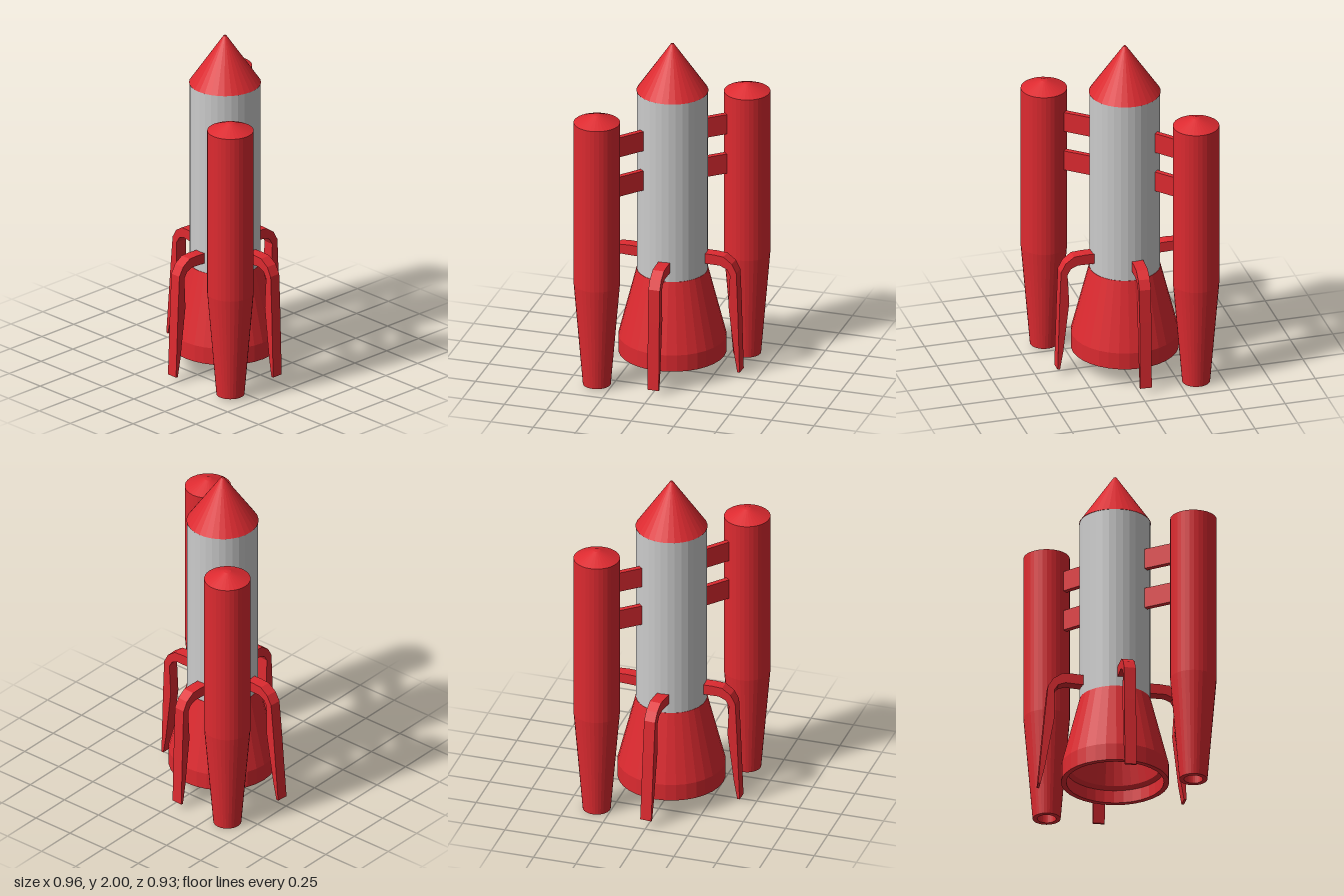
import * as THREE from 'three';

const red = new THREE.MeshStandardMaterial({ color: 0xdd2a30, flatShading: true, side: THREE.DoubleSide });
const grey = new THREE.MeshStandardMaterial({ color: 0xcccccc, flatShading: true });
const CX = -0.03, CZ = 0.005; // axis of the main body

function lathe(name, points, material, x, z, y = 0) {
  const profile = points.map(([r, h]) => new THREE.Vector2(r, h));
  const mesh = new THREE.Mesh(new THREE.LatheGeometry(profile, 32), material);
  mesh.name = name;
  mesh.position.set(x, y, z);
  return mesh;
}

// Flat strut between two ground points [x, z]
function strut(a, b, y) {
  const dx = b[0] - a[0], dz = b[1] - a[1];
  const mesh = new THREE.Mesh(new THREE.BoxGeometry(Math.hypot(dx, dz), 0.12, 0.03), red);
  mesh.name = 'boosterStrut';
  mesh.position.set((a[0] + b[0]) / 2, y, (a[1] + b[1]) / 2);
  mesh.rotation.y = Math.atan2(-dz, dx);
  return mesh;
}

// Bent landing leg: outline in (outward, up), measured from where it meets the body
function legGeometry() {
  const width = 0.067;
  const outline = [
    [-0.03, 0.03], [0.05, 0.032], [0.11, 0.028], [0.16, -0.008], [0.188, -0.06], [0.196, -0.26], [0.208, -0.67],
    [0.194, -0.67], [0.175, -0.56], [0.14, -0.26], [0.15, -0.08], [0.13, -0.045], [0.09, -0.028], [-0.03, -0.03],
  ].map(([x, y]) => new THREE.Vector2(x, y));
  const geo = new THREE.ExtrudeGeometry(new THREE.Shape(outline), { depth: width, bevelEnabled: false });
  return geo.translate(0, 0, -width / 2);
}

export function createModel() {
  const rocket = new THREE.Group();
  rocket.name = 'rocket';

  // Main body, nose and hollow engine skirt
  rocket.add(
    lathe('body', [[0.2, 0.6], [0.2, 1.71]], grey, CX, CZ),
    lathe('noseCone', [[0, 1.71], [0.203, 1.71], [0.008, 1.997], [0, 2]], red, CX, CZ),
    lathe('engineSkirt', [
      [0, 0.58], [0.17, 0.58], [0.255, 0.2], [0.275, 0.18], [0.275, 0.105],
      [0.305, 0.105], [0.305, 0.205], [0.202, 0.612], [0, 0.612],
    ], red, CX, CZ),
  );

  // Side boosters with open nozzles and low conical caps
  const booster = [
    [0, 0.1], [0.053, 0.1], [0.053, 0], [0.079, 0], [0.131, 0.62],
    [0.131, 1.615], [0.02, 1.663], [0, 1.666],
  ];
  rocket.add(
    lathe('leftBooster', booster, red, 0.349, 0.331, 0.014),
    lathe('rightBooster', booster, red, -0.349, -0.335),
  );

  // Two struts for each booster
  for (const y of [1.2, 1.443]) {
    rocket.add(
      strut([0.09, 0.115], [0.27, 0.265], y),
      strut([-0.155, -0.11], [-0.29, -0.265], y - 0.008),
    );
  }

  // Four legs: root and tip [x, z], outward tilt
  const geo = legGeometry();
  const legs = [
    ['leftLeg', [0.17, -0.01], [0.38, -0.01], 0],
    ['rightLeg', [-0.23, 0.018], [-0.48, -0.005], 0.06],
    ['frontLeg', [-0.026, 0.205], [-0.032, 0.42], 0.01],
    ['backLeg', [-0.047, -0.195], [-0.035, -0.405], 0],
  ];
  for (const [name, root, tip, tilt] of legs) {
    const mesh = new THREE.Mesh(geo, red);
    mesh.name = name;
    mesh.position.set(root[0], 0.7, root[1]);
    mesh.rotation.set(0, Math.atan2(root[1] - tip[1], tip[0] - root[0]), tilt);
    rocket.add(mesh);
  }
  return rocket;
}
